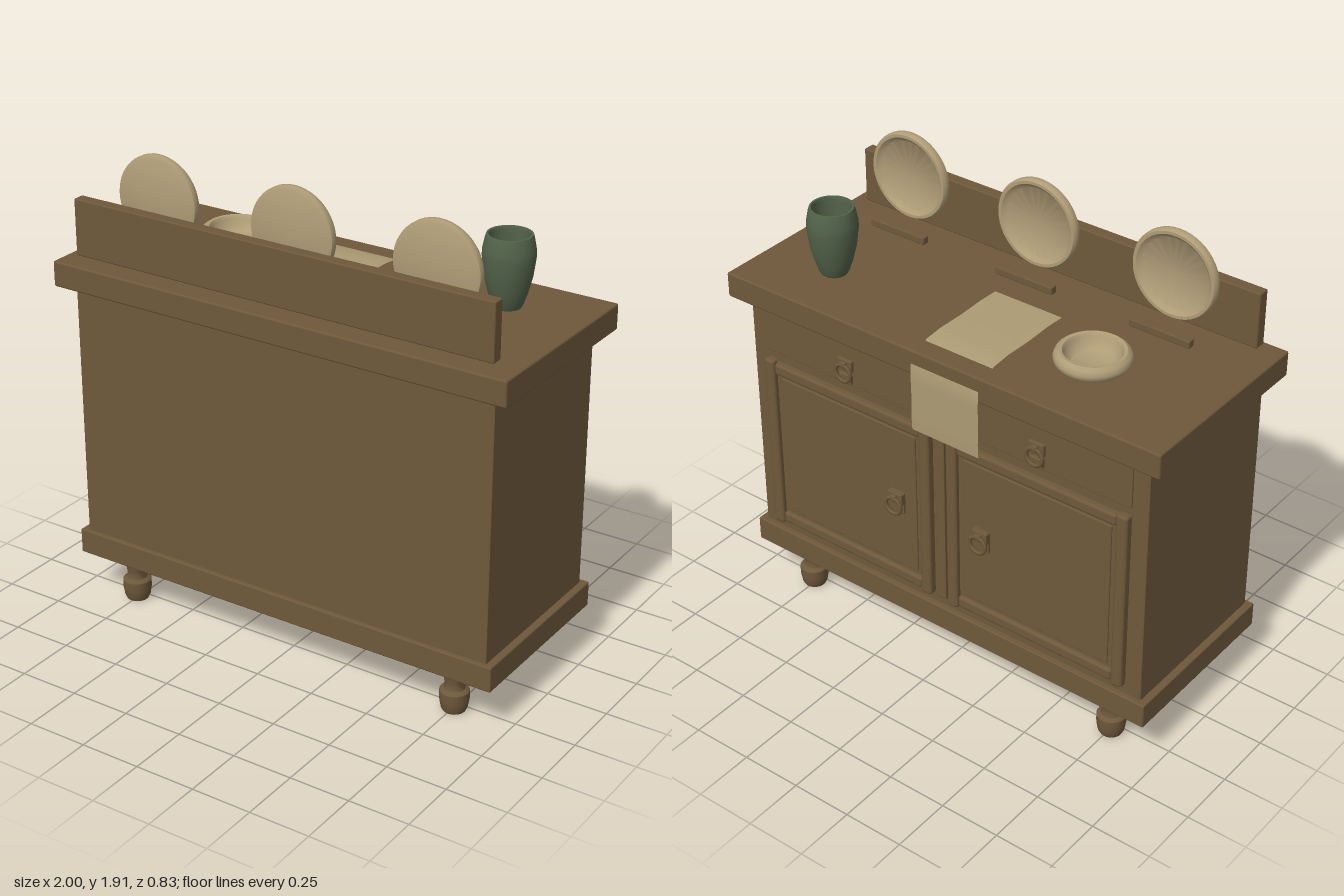
import * as THREE from 'three';
import { toCreasedNormals } from 'three/addons/utils/BufferGeometryUtils.js';
import { RoundedBoxGeometry } from 'three/addons/geometries/RoundedBoxGeometry.js';

const material = (name, color, side = THREE.FrontSide) => {
  const m = new THREE.MeshStandardMaterial({ color, side });
  m.name = name;
  return m;
};

export function createModel() {
  const model = new THREE.Group();
  model.name = 'sideboard';
  const wood = material('brown wood', 0x6e583b);
  const cream = material('cream ceramic', 0xb09d77);
  const green = material('green glaze', 0x52634a);
  const linen = material('linen', 0xac9b74, THREE.DoubleSide);

  const add = (name, geometry, mat, x = 0, y = 0, z = 0, parent = model) => {
    const mesh = new THREE.Mesh(geometry, mat);
    mesh.name = name;
    mesh.position.set(x, y, z);
    parent.add(mesh);
    return mesh;
  };
  // Box given by its limits on each axis, with softened edges
  const box = (name, [x0, x1], [y0, y1], [z0, z1], bevel = 0.006, parent = model) =>
    add(name, new RoundedBoxGeometry(x1 - x0, y1 - y0, z1 - z0, 2, bevel), wood,
      (x0 + x1) / 2, (y0 + y1) / 2, (z0 + z1) / 2, parent);
  const lathe = (points, segments = 40) => toCreasedNormals(
    new THREE.LatheGeometry(points.map(p => new THREE.Vector2(...p)), segments), 0.7);

  // Carcass
  box('plinth', [-0.96, 0.96], [0.19, 0.295], [-0.383, 0.383]);
  box('body', [-0.93, 0.93], [0.28, 1.37], [-0.36, 0.365], 0.004);
  box('worktop', [-1, 1], [1.36, 1.465], [-0.415, 0.415], 0.008);
  box('drawerRail', [-0.86, 0.86], [1.15, 1.35], [-0.366, -0.35], 0.003);

  // Turned feet
  const foot = lathe([[0, 0], [0.045, 0], [0.052, 0.015], [0.058, 0.05], [0.058, 0.085], [0.052, 0.092],
    [0.042, 0.096], [0.038, 0.11], [0.04, 0.13], [0.047, 0.16], [0.049, 0.2], [0, 0.2]], 24);
  for (const x of [-0.755, 0.755])
    for (const z of [-0.285, 0.285]) add('foot', foot, wood, x, 0, z);

  // Ring pull: back plate, hanging ring and stud
  const ringPull = (x, y, z) => {
    const pull = new THREE.Group();
    pull.name = 'ringPull';
    pull.position.set(x, y, z);
    model.add(pull);
    box('pullPlate', [-0.035, 0.035], [0.0, 0.05], [-0.014, 0.004], 0.004, pull);
    add('pullRing', new THREE.TorusGeometry(0.036, 0.008, 8, 28), wood, 0, -0.005, -0.022, pull);
    box('pullStud', [-0.013, 0.013], [0.018, 0.042], [-0.028, 0], 0.004, pull);
  };

  // Pair of framed doors with their pulls
  for (const side of [-1, 1]) {
    const span = (a, b) => side > 0 ? [a, b] : [-b, -a];
    const door = new THREE.Group();
    door.name = side > 0 ? 'leftDoor' : 'rightDoor';
    model.add(door);
    box('doorPanel', span(0.05, 0.85), [0.345, 1.11], [-0.37, -0.35], 0.003, door);
    box('doorField', span(0.115, 0.785), [0.41, 1.045], [-0.376, -0.36], 0.004, door);
    for (const x of [0.04, 0.81]) box('stile', span(x, x + 0.05), [0.335, 1.12], [-0.392, -0.35], 0.012, door);
    for (const y of [0.345, 1.06]) box('doorRail', span(0.09, 0.81), [y, y + 0.05], [-0.388, -0.35], 0.012, door);
    ringPull(side * 0.205, 0.715, -0.385);
    box('pullMount', span(0.17, 0.24), [0.67, 0.765], [-0.386, -0.37], 0.003);
    ringPull(side * 0.45, 1.215, -0.366);
    box('pullFoot', span(0.42, 0.48), [1.16, 1.2], [-0.38, -0.36], 0.004);
  }
  box('centreBead', [-0.022, 0.022], [0.335, 1.12], [-0.374, -0.35], 0.004);

  // Back board, plate rests and display plates
  box('backBoard', [-0.92, 0.92], [1.49, 1.72], [0.317, 0.367]);
  const plate = lathe([[0, 0], [0.165, 0], [0.178, 0.006], [0.18, 0.014], [0.18, 0.03], [0.174, 0.039],
    [0.162, 0.039], [0.15, 0.028], [0.142, 0.022], [0, 0.022]], 48).rotateX(-Math.PI / 2);
  for (const x of [-0.613, 0, 0.613]) {
    box('plateRest', [x - 0.132, x + 0.132], [1.51, 1.542], [0.141, 0.173], 0.005);
    add('plate', plate, cream, x, 1.735, 0.255);
  }

  // Bowl
  add('bowl', lathe([[0, 0], [0.07, 0], [0.08, 0.006], [0.128, 0.02], [0.143, 0.038], [0.145, 0.052],
    [0.138, 0.07], [0.124, 0.08], [0.112, 0.078], [0.105, 0.066], [0.1, 0.045], [0.08, 0.025], [0, 0.018]]),
  cream, -0.505, 1.47, -0.115);

  // Vase
  add('vase', lathe([[0, 0], [0.052, 0], [0.06, 0.015], [0.075, 0.06], [0.09, 0.12], [0.1, 0.2], [0.099, 0.225],
    [0.09, 0.27], [0.086, 0.283], [0.078, 0.283], [0.075, 0.27], [0.084, 0.2], [0.072, 0.1], [0.05, 0.04], [0, 0.03]]),
  green, 0.675, 1.467, -0.16);

  // Runner: lies on the worktop, dips at the edge and hangs in front
  const path = [[0.088, 1.474], [0, 1.477], [-0.12, 1.473], [-0.24, 1.476], [-0.32, 1.469], [-0.36, 1.455],
    [-0.4, 1.43], [-0.417, 1.405], [-0.419, 1.33], [-0.417, 1.25], [-0.42, 1.18], [-0.417, 1.12]];
  const runner = new THREE.PlaneGeometry(0.31, 1, 6, path.length - 1);
  const pos = runner.attributes.position;
  for (let i = 0; i < pos.count; i++) {
    const [z, y] = path[Math.floor(i / 7)];
    pos.setXYZ(i, pos.getX(i) - 0.065, y, z);
  }
  // the sheet runs from +z to -z, so reverse its winding to face up and out
  const index = runner.index.array;
  for (let i = 0; i < index.length; i += 3) [index[i], index[i + 1]] = [index[i + 1], index[i]];
  runner.computeVertexNormals();
  add('tableRunner', runner, linen);

  return model;
}
